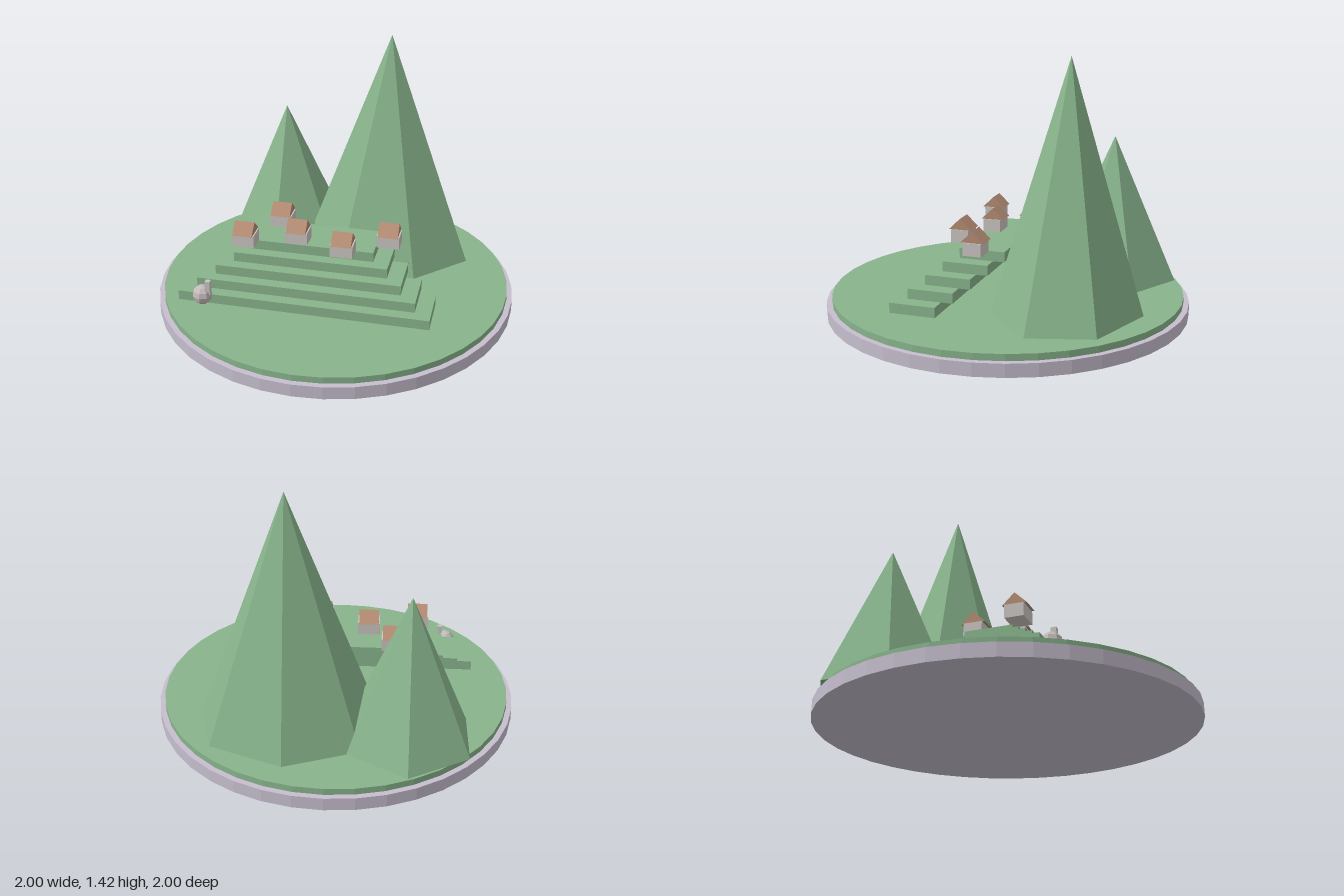
import * as THREE from 'three';

const material = (name, color) => {
  const m = new THREE.MeshStandardMaterial({ color, flatShading: true });
  m.name = name;
  return m;
};

export function createModel() {
  const green = material('grass green', 0x88b48c);
  const stone = material('pale lilac stone', 0xc6bece);
  const wall = material('plaster wall', 0xc9c4c0);
  const tile = material('clay roof', 0xb58c74);
  const rock = material('boulder grey', 0xc4bbba);

  const model = new THREE.Group();
  model.name = 'mountainVillage';

  const add = (parent, name, geometry, mat, x, y, z) => {
    const mesh = new THREE.Mesh(geometry, mat);
    mesh.name = name;
    mesh.position.set(x, y, z);
    parent.add(mesh);
    return mesh;
  };

  // Round plinth with a grass disc on top
  add(model, 'plinth', new THREE.CylinderGeometry(1, 1, 0.07, 40), stone, 0, 0.035, 0);
  const ground = 0.105;
  add(model, 'grass', new THREE.CylinderGeometry(0.97, 0.97, 0.035, 40), green, 0, 0.0875, 0);

  // Faceted mountains; the large one is wider than deep
  const large = add(model, 'largeMountain', new THREE.ConeGeometry(1, 1.315, 7),
    green, 0.225, ground + 0.6575, -0.41);
  large.rotation.y = Math.PI;
  large.scale.set(0.5, 1, 0.4);
  add(model, 'smallMountain', new THREE.ConeGeometry(0.363, 0.815, 6),
    green, -0.41, ground + 0.4075, -0.503);

  // Terraces, each narrower and set further back
  const stepHeight = 0.055;
  for (let i = 0; i < 5; i++) {
    add(model, 'terrace' + (i + 1),
      new THREE.BoxGeometry(1.38 - i * 0.174, stepHeight, 0.253),
      green, -0.092, ground + (i + 0.5) * stepHeight, 0.318 - i * 0.064);
  }

  // Houses with a triangular prism roof, ridge running along x
  const gable = new THREE.Shape([
    new THREE.Vector2(-0.064, 0),
    new THREE.Vector2(0.064, 0),
    new THREE.Vector2(0, 0.062),
  ]);
  const roofGeometry = new THREE.ExtrudeGeometry(gable, { depth: 0.11, bevelEnabled: false });
  roofGeometry.translate(0, 0, -0.055).rotateY(Math.PI / 2);
  const bodyGeometry = new THREE.BoxGeometry(0.124, 0.07, 0.1);
  const sites = [[-0.457, 0.228], [-0.319, -0.045], [-0.182, 0.137], [0.09, 0.228], [0.316, 0.072]];
  sites.forEach(([x, z], i) => {
    const house = new THREE.Group();
    house.name = 'house' + (i + 1);
    house.position.set(x, ground + 5 * stepHeight, z);
    add(house, 'walls', bodyGeometry, wall, 0, 0.035, 0);
    add(house, 'roof', roofGeometry, tile, 0, 0.07, 0);
    model.add(house);
  });

  // Boulder with an upright post beside it
  add(model, 'boulder', new THREE.SphereGeometry(0.055, 8, 6), rock, -0.64, 0.16, 0.453);
  add(model, 'post', new THREE.BoxGeometry(0.027, 0.08, 0.027), wall, -0.604, 0.21, 0.456);

  return model;
}
